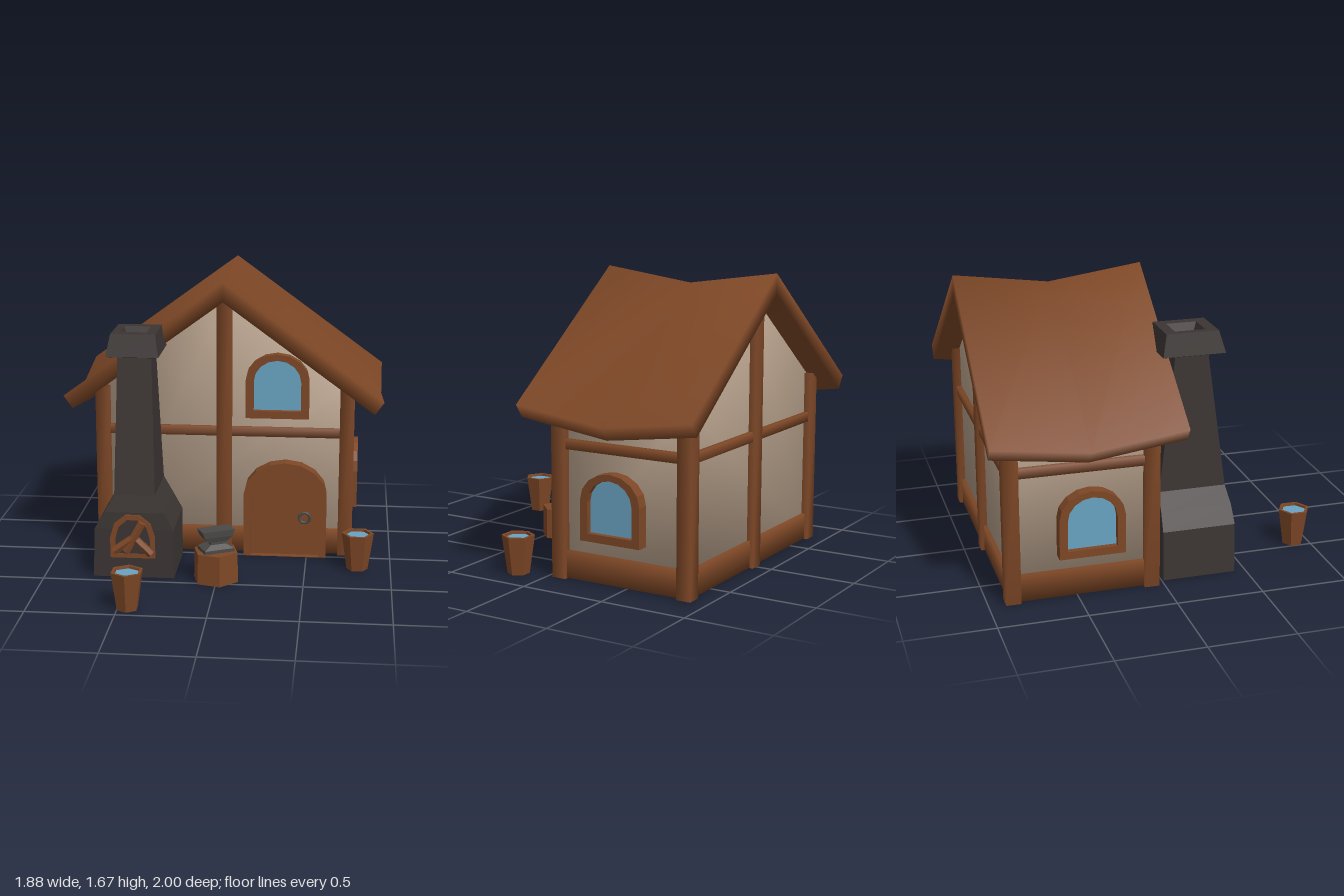
import * as THREE from 'three';
import { mergeVertices } from 'three/addons/utils/BufferGeometryUtils.js';

const mat = (name, color) => Object.assign(new THREE.MeshStandardMaterial({ color }), { name });

// Shares corner vertices so the shading rolls softly over the edges
function soften(geo) {
  geo.deleteAttribute('normal');
  geo.deleteAttribute('uv');
  geo.clearGroups();
  const g = mergeVertices(geo, 1e-4);
  g.computeVertexNormals();
  return g;
}

function facet(geo) {
  const g = geo.index ? geo.toNonIndexed() : geo;
  g.computeVertexNormals();
  return g;
}

// Outline with a flat foot and a rounded top
function archPoints(w, y0, y1, rise, n = 8) {
  const pts = [new THREE.Vector2(-w, y0), new THREE.Vector2(w, y0)];
  for (let i = 0; i <= n; i++) {
    const a = (Math.PI * i) / n;
    pts.push(new THREE.Vector2(w * Math.cos(a), y1 - rise + rise * Math.sin(a)));
  }
  return pts;
}

function extrude(points, depth, hole, steps = 1) {
  const shape = new THREE.Shape(points);
  if (hole) shape.holes.push(new THREE.Path(hole));
  return new THREE.ExtrudeGeometry(shape, { depth, steps, bevelEnabled: false });
}

// Skin over rectangular rings [y, x0, x1, z0, z1], closed at both ends
function loftRects(rings) {
  const pos = [];
  const R = rings.map(([y, x0, x1, z0, z1]) => [[x0, y, z1], [x1, y, z1], [x1, y, z0], [x0, y, z0]]);
  const quad = (a, b, c, d) => pos.push(...a, ...b, ...c, ...a, ...c, ...d);
  for (let i = 0; i < R.length - 1; i++)
    for (let j = 0; j < 4; j++) {
      const k = (j + 1) % 4;
      quad(R[i][j], R[i][k], R[i + 1][k], R[i + 1][j]);
    }
  const top = R[R.length - 1], bot = R[0];
  quad(...top);
  quad(bot[3], bot[2], bot[1], bot[0]);
  const g = new THREE.BufferGeometry();
  g.setAttribute('position', new THREE.Float32BufferAttribute(pos, 3));
  g.computeVertexNormals();
  return g;
}

export function createModel() {
  const wood = mat('wood', 0x7d4726);
  const plaster = mat('plaster', 0xb39d88);
  const glass = mat('blue glass', 0x69a3c2);
  const stone = mat('dark stone', 0x3b3533);
  const iron = mat('iron', 0x4b4947);

  const model = new THREE.Group();
  model.name = 'cottageForge';
  const add = (name, geo, material, parent = model) => {
    const m = new THREE.Mesh(geo, material);
    m.name = name;
    parent.add(m);
    return m;
  };
  // Timber given by its extents
  const beam = (name, x0, x1, y0, y1, z0, z1) => {
    const g = soften(new THREE.BoxGeometry(x1 - x0, y1 - y0, z1 - z0));
    add(name, g, wood).position.set((x0 + x1) / 2, (y0 + y1) / 2, (z0 + z1) / 2);
  };
  const V = (x, y) => new THREE.Vector2(x, y);

  // Plaster walls with gables
  const walls = extrude([V(-0.725, 0.02), V(0.725, 0.02), V(0.725, 1.02), V(0, 1.56), V(-0.725, 1.02)], 0.795);
  add('walls', soften(walls), plaster).position.z = -0.865;

  // Timber frame
  for (const s of [-1, 1]) {
    const x0 = s < 0 ? -0.77 : 0.685;
    beam('frontCornerPost', x0, x0 + 0.085, 0, 1.02, -0.115, -0.03);
    beam('backCornerPost', x0, x0 + 0.085, 0, 1.02, -0.905, -0.82);
    const a = s * 0.755, b = s * 0.69;
    beam('sideRail', Math.min(a, b), Math.max(a, b), 0.73, 0.785, -0.83, -0.1);
  }
  for (const [side, z0, z1] of [['front', -0.115, -0.03], ['back', -0.905, -0.82]]) {
    beam(side + 'CentrePost', -0.045, 0.045, 0, 1.56, z0, z1);
    beam(side + 'Rail', -0.7, 0.7, 0.73, 0.785, z0 + 0.012, z1 - 0.012);
  }
  beam('foundation', -0.75, 0.75, 0.004, 0.158, -0.885, -0.05);

  // Sagging chevron roof
  const roof = extrude([
    V(0, 1.67), V(-0.94, 0.985), V(-0.887, 0.91), V(0, 1.557), V(0.887, 0.91), V(0.94, 0.985),
  ], 1.08, null, 2);
  const rp = roof.attributes.position;
  for (let i = 0; i < rp.count; i++) {
    const mid = 1 - Math.abs(rp.getZ(i) - 0.54) / 0.54;
    rp.setY(i, rp.getY(i) - 0.075 * mid);
    rp.setX(i, rp.getX(i) * (1 - 0.01 * mid));
  }
  add('roof', soften(roof), wood).position.z = -1;

  // Arched windows
  function windowUnit(name, x, y, z, ry) {
    const g = new THREE.Group();
    g.name = name;
    const frame = extrude(archPoints(0.187, 0, 0.387, 0.16), 0.075, archPoints(0.14, 0.045, 0.35, 0.13));
    add('windowFrame', facet(frame), wood, g).position.z = -0.01;
    add('windowPane', extrude(archPoints(0.15, 0.04, 0.355, 0.135), 0.008), glass, g).position.z = 0.025;
    g.position.set(x, y, z);
    g.rotation.y = ry;
    model.add(g);
  }
  windowUnit('frontWindow', 0.315, 0.85, -0.075, 0);
  windowUnit('rightWindow', 0.73, 0.245, -0.42, Math.PI / 2);
  windowUnit('leftWindow', -0.73, 0.245, -0.42, -Math.PI / 2);

  // Arched door with surround and ring handle
  const door = new THREE.Group();
  door.name = 'door';
  door.position.set(0.368, 0, -0.08);
  model.add(door);
  const surround = extrude(archPoints(0.247, 0, 0.585, 0.2), 0.097, archPoints(0.203, 0.003, 0.545, 0.18));
  add('doorFrame', facet(surround), wood, door);
  add('doorPanel', extrude(archPoints(0.21, 0.002, 0.55, 0.185), 0.06), wood, door);
  add('doorHandle', new THREE.TorusGeometry(0.032, 0.009, 6, 12), iron, door).position.set(0.118, 0.24, 0.068);

  // Chimney with flared cap and hollow flue
  add('chimney', loftRects([
    [0, -0.717, -0.247, 0.01, 0.435],
    [0.29, -0.705, -0.249, 0.01, 0.435],
    [0.39, -0.648, -0.302, 0.015, 0.43],
    [0.49, -0.592, -0.357, 0.02, 0.41],
    [1.27, -0.577, -0.382, 0.11, 0.303],
    [1.29, -0.632, -0.332, 0.025, 0.385],
    [1.415, -0.607, -0.352, 0.05, 0.35],
    [1.415, -0.565, -0.41, 0.11, 0.285],
    [1.3, -0.525, -0.45, 0.15, 0.24],
  ]), stone);

  // Hearth mouth and firewood
  const hearth = new THREE.Group();
  hearth.name = 'hearth';
  hearth.position.set(-0.485, 0, 0.43);
  model.add(hearth);
  const mouth = archPoints(0.13, 0.12, 0.385, 0.14, 5);
  const inner = archPoints(0.1, 0.145, 0.355, 0.12, 5);
  add('hearthRim', facet(extrude(mouth, 0.013, inner)), wood, hearth);
  add('hearthOpening', extrude(inner, 0.008), stone, hearth);
  for (const [x, y, rz, len] of [[-0.055, 0.2, -0.95, 0.13], [0.01, 0.25, -0.5, 0.2], [0.065, 0.19, 0.8, 0.12]]) {
    const log = add('log', facet(new THREE.CylinderGeometry(0.026, 0.026, len, 6)), wood, hearth);
    log.position.set(x, y, 0.015);
    log.rotation.z = rz;
  }

  // Anvil on a six-sided stump
  const stump = add('stump', facet(new THREE.CylinderGeometry(0.132, 0.136, 0.178, 6)), wood);
  stump.position.set(-0.005, 0.089, 0.42);
  stump.rotation.y = 0.25;
  const anvil = new THREE.Group();
  anvil.name = 'anvil';
  anvil.position.set(-0.005, 0.178, 0.42);
  anvil.rotation.y = 0.47;
  model.add(anvil);
  add('anvilBase', loftRects([
    [0, -0.09, 0.09, -0.062, 0.062],
    [0.02, -0.09, 0.09, -0.062, 0.062],
    [0.045, -0.045, 0.045, -0.035, 0.035],
    [0.07, -0.045, 0.045, -0.035, 0.035],
  ]), iron, anvil);
  add('anvilTop', loftRects([
    [0.06, -0.06, 0.06, -0.035, 0.035],
    [0.09, -0.085, 0.085, -0.045, 0.045],
    [0.128, -0.098, 0.098, -0.048, 0.048],
  ]), iron, anvil);

  // Six-sided water buckets
  for (const [x, z, ry] of [[-0.445, 0.905, 0], [0.805, 0.175, Math.PI / 6]]) {
    const b = new THREE.Group();
    b.name = 'bucket';
    b.position.set(x, 0, z);
    b.rotation.y = ry;
    model.add(b);
    const profile = [V(0, 0), V(0.062, 0), V(0.094, 0.22), V(0.076, 0.22), V(0.072, 0.19)];
    add('bucketShell', facet(new THREE.LatheGeometry(profile, 6)), wood, b);
    const water = add('water', new THREE.CylinderGeometry(0.074, 0.072, 0.008, 6), glass, b);
    water.position.y = 0.202;
  }
  return model;
}
